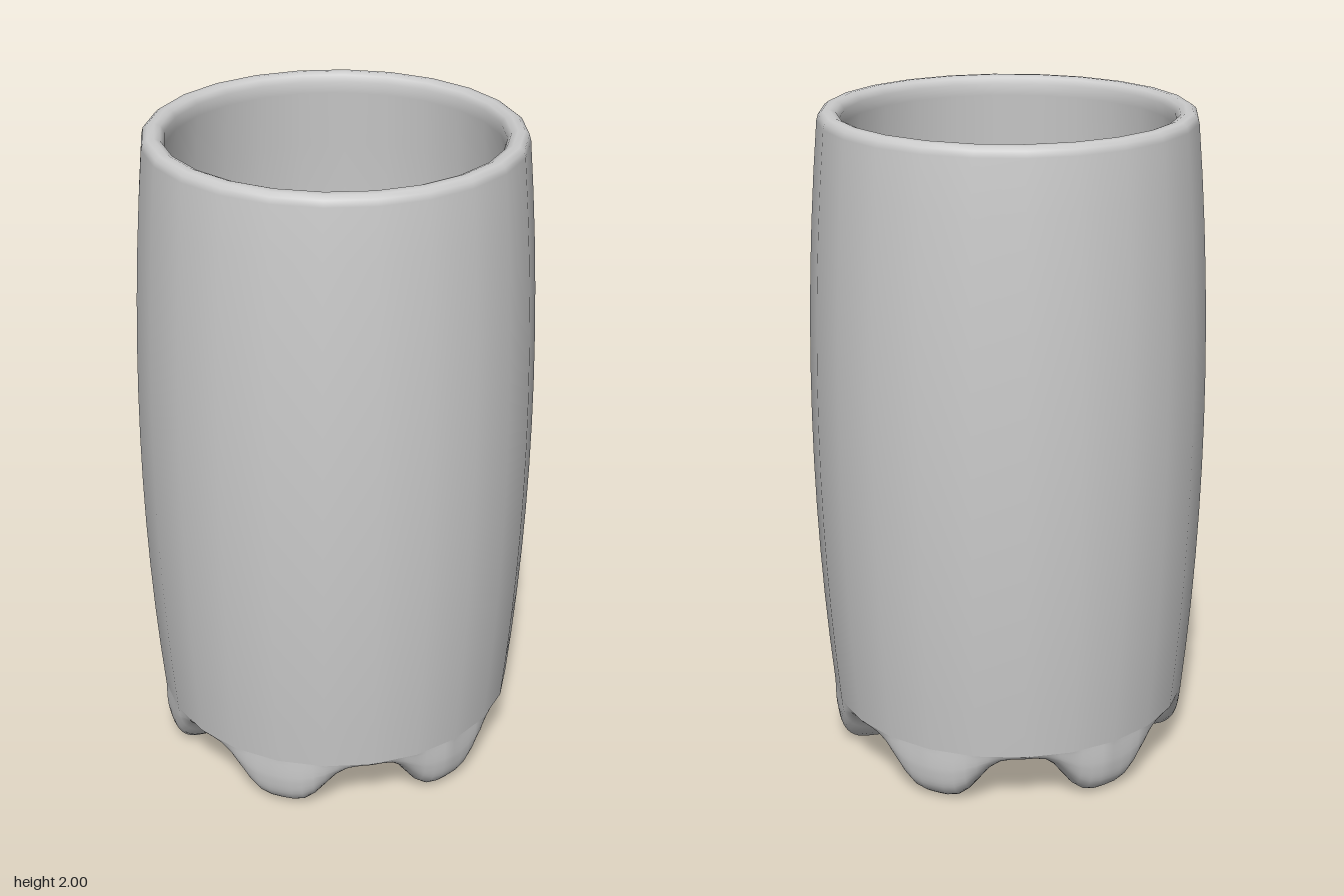
import * as THREE from 'three';
import { ParametricGeometry } from 'three/addons/geometries/ParametricGeometry.js';

const SIDES = 24;
const spline = (pts) => new THREE.SplineCurve(pts.map(([x, y]) => new THREE.Vector2(x, y)));

// Barrel swell of the wall between y = 0.18 and y = 2
const swell = (y) => 0.045 * (1 - ((y - 1.09) / 0.91) ** 2);

export function createModel() {
  const group = new THREE.Group();
  const material = new THREE.MeshStandardMaterial({ color: 0xcccccc, side: THREE.DoubleSide });
  const add = (name, geometry) => {
    const mesh = new THREE.Mesh(geometry, material);
    mesh.name = name;
    group.add(mesh);
  };

  // Outer wall, rounded lip and inner wall in one turned profile
  const profile = [];
  for (let i = 0; i <= 12; i++) {
    const y = 0.18 + (1.79 * i) / 12;
    profile.push([0.55 + swell(y), y]);
  }
  profile.push([0.548, 1.988], [0.535, 1.998], [0.515, 2], [0.498, 1.993], [0.487, 1.975]);
  for (let i = 0; i <= 10; i++) {
    const y = 1.94 - (1.7 * i) / 10;
    profile.push([0.482 + swell(y), y]);
  }
  profile.push([0.48, 0.21]);
  add('wall', new THREE.LatheGeometry(profile.map(([x, y]) => new THREE.Vector2(x, y)), SIDES));

  // Inner floor
  const floor = new THREE.CircleGeometry(0.48, SIDES);
  floor.rotateX(-Math.PI / 2);
  floor.translate(0, 0.21, 0);
  add('floor', floor);

  // Base with six feet: blends a foot section and a gap section around the axis
  const foot = spline([[0.55, 0.18], [0.547, 0.1], [0.53, 0.04], [0.49, 0.004], [0.42, 0],
    [0.36, 0.004], [0.3, 0.035], [0.24, 0.09], [0.15, 0.13], [0.001, 0.14]]);
  const gap = spline([[0.55, 0.18], [0.538, 0.168], [0.515, 0.157], [0.48, 0.147], [0.42, 0.138],
    [0.36, 0.133], [0.3, 0.13], [0.24, 0.13], [0.15, 0.135], [0.001, 0.14]]);
  const a = new THREE.Vector2(), b = new THREE.Vector2();
  const step = (2 * Math.PI) / SIDES;
  const base = new ParametricGeometry((u, v, target) => {
    const angle = u * 2 * Math.PI;
    const w = THREE.MathUtils.smoothstep(0.5 - 0.5 * Math.cos(6 * angle), 0, 1);
    gap.getPoint(v, a).lerp(foot.getPoint(v, b), w);
    // Meet the faceted wall at the rim
    const facet = Math.cos(step / 2) / Math.cos((angle % step) - step / 2);
    const r = a.x * THREE.MathUtils.lerp(facet, 1, Math.min(1, v * 4));
    target.set(r * Math.cos(angle), Math.max(0, a.y), r * Math.sin(angle));
  }, 96, 36);
  add('footedBase', base);

  return group;
}
